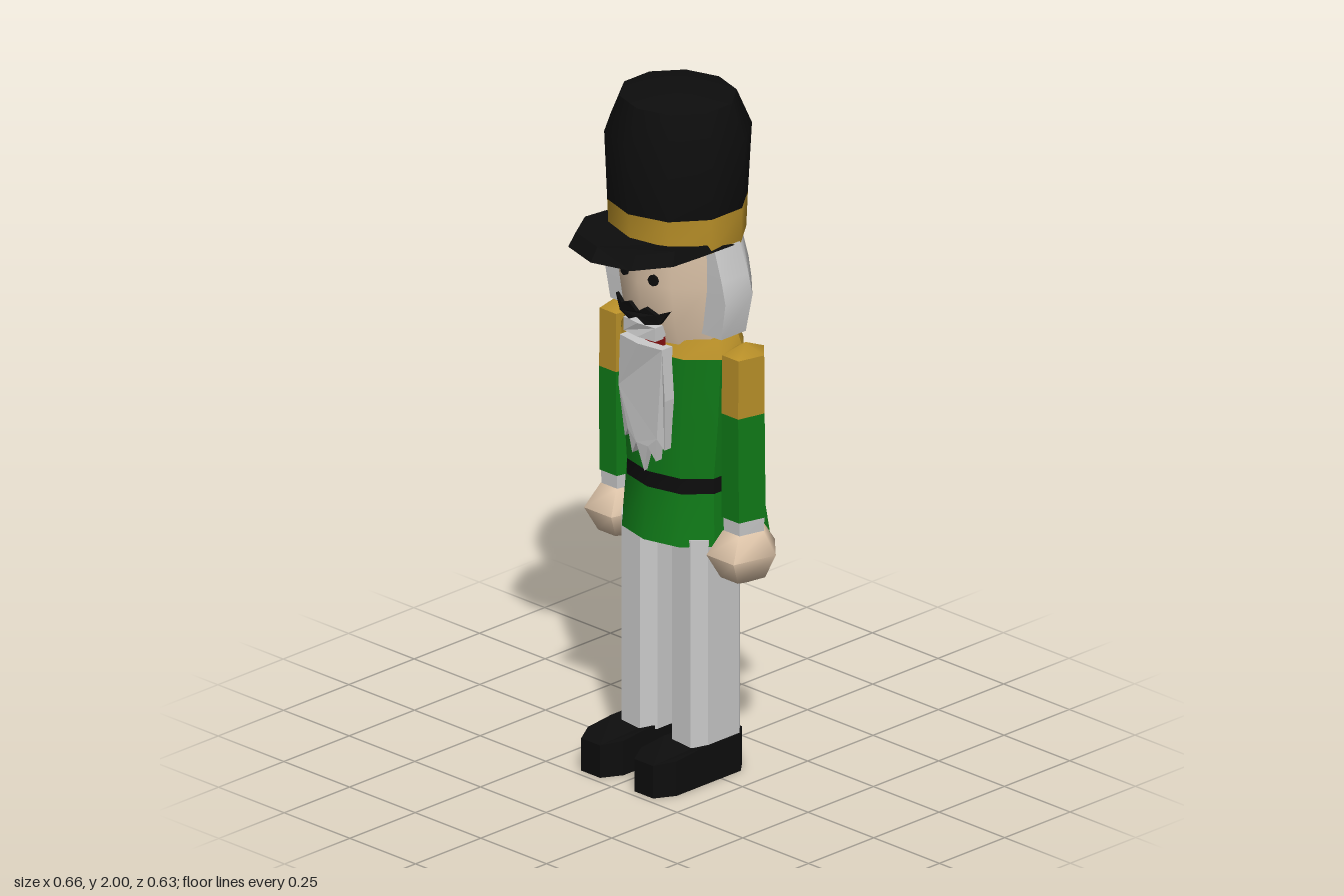
import * as THREE from 'three';
import { toCreasedNormals } from 'three/addons/utils/BufferGeometryUtils.js';

const paint = (name, color) => Object.assign(new THREE.MeshStandardMaterial({ color }), { name });

// Applies a rule to every vertex
function warp(geometry, rule) {
  const p = geometry.attributes.position;
  const v = new THREE.Vector3();
  for (let i = 0; i < p.count; i++) {
    v.fromBufferAttribute(p, i);
    rule(v);
    p.setXYZ(i, v.x, v.y, v.z);
  }
  geometry.computeVertexNormals();
  return geometry;
}

// Elliptical loft; each ring is [y, centre x, radius x, radius z], bottom to top
function loft(rings, sides = 10, zc = 0, crease = 0.75) {
  const n = rings.length - 1;
  const g = new THREE.CylinderGeometry(1, 1, 1, sides, n, false, Math.PI / 2);
  warp(g, v => {
    const [y, cx, rx, rz] = rings[Math.round((v.y + 0.5) * n)];
    v.set(cx + v.x * rx, y, zc + v.z * rz);
  });
  return toCreasedNormals(g, crease);
}

const shapeOf = pts => new THREE.Shape(pts.map(([a, b]) => new THREE.Vector2(a, b)));

// Prism standing on a plan outline of [x, z] points (symmetric about zc)
function prism(pts, y0, y1, zc = 0) {
  const g = new THREE.ExtrudeGeometry(shapeOf(pts), { depth: y1 - y0, bevelEnabled: false });
  return g.rotateX(-Math.PI / 2).translate(0, y0, zc);
}

// Plate on the face side (-x), outline in [z, y], bent back towards its sides
function frontPlate(pts, x, depth, bend) {
  const g = new THREE.ExtrudeGeometry(shapeOf(pts), { depth, bevelEnabled: false });
  g.rotateY(-Math.PI / 2).translate(x, 0, 0);
  return warp(g, v => { v.x += bend * v.z * v.z; });
}

export function createModel() {
  const black = paint('black', 0x0d0d0d);
  const green = paint('green', 0x107a18);
  const gold = paint('gold', 0xb88f28);
  const white = paint('white', 0xcacaca);
  const skin = paint('skin', 0xdcc3a8);
  const red = paint('red', 0x8a1010);

  const model = new THREE.Group();
  model.name = 'toySoldier';
  const add = (name, geometry, material) => {
    const mesh = new THREE.Mesh(geometry, material);
    mesh.name = name;
    model.add(mesh);
  };

  // Coat, belt and collar
  const hem = [0.69, 0.012, 0.14, 0.184];
  const beltLow = [0.84, 0.015, 0.128, 0.174];
  const beltTop = [0.885, 0.015, 0.127, 0.174];
  const chest = [1.24, 0.022, 0.142, 0.2];
  add('coatSkirt', loft([hem, beltLow]), [green, green, red]);
  add('belt', loft([beltLow, beltTop]), black);
  add('coat', loft([beltTop, [1.05, 0.018, 0.136, 0.19], chest]), green);
  add('collar', loft([chest, [1.29, 0.025, 0.125, 0.178]]), gold);

  // Head and hair
  add('head', loft([
    [1.27, 0.022, 0.13, 0.158], [1.33, 0.01, 0.14, 0.165],
    [1.45, 0, 0.15, 0.17], [1.57, 0, 0.145, 0.165],
  ]), skin);
  const hair = loft([
    [1.31, 0.005, 0.152, 0.222], [1.42, 0.005, 0.17, 0.243],
    [1.48, 0.005, 0.167, 0.228], [1.565, 0.005, 0.155, 0.196],
  ]);
  warp(hair, v => { v.x = Math.max(v.x, -0.046); });
  add('hair', toCreasedNormals(hair, 0.75), white);

  // Hat with band and visor
  const bandTop = [1.66, 0.003, 0.189, 0.197];
  add('hatBand', loft([[1.56, 0.003, 0.183, 0.195], bandTop]), gold);
  add('hat', loft([
    bandTop, [1.86, 0.005, 0.2, 0.205], [1.96, 0.005, 0.157, 0.165], [2, 0.005, 0.001, 0.001],
  ]), black);
  const visor = prism([
    [-0.33, 0], [-0.295, -0.12], [-0.195, -0.18], [-0.1, -0.186], [0.03, -0.19],
    [0.03, 0.19], [-0.1, 0.186], [-0.195, 0.18], [-0.295, 0.12],
  ], 1.562, 1.6);
  warp(visor, v => {
    if (v.y < 1.58) return;
    if (v.x > -0.15) v.y = 1.6 - (v.x + 0.15) * 0.18;
    v.x *= 0.92;
    v.z *= 0.95;
  });
  add('visor', visor, black);

  // Face details
  for (const s of [1, -1]) {
    const eye = new THREE.CylinderGeometry(0.016, 0.016, 0.008, 8).rotateZ(Math.PI / 2);
    add('eye', eye.rotateY(s * 0.2).translate(-0.145, 1.47, s * 0.055), black);
  }
  add('moustache', frontPlate([
    [0, 1.365], [-0.03, 1.385], [-0.065, 1.37], [-0.1, 1.385], [-0.075, 1.345], [-0.03, 1.335],
    [0, 1.35], [0.03, 1.335], [0.075, 1.345], [0.1, 1.385], [0.065, 1.37], [0.03, 1.385],
  ], -0.143, 0.012, 2.2), black);
  add('teeth', frontPlate([
    [-0.06, 1.29], [0, 1.29], [0.06, 1.29], [0.06, 1.33], [0, 1.33], [-0.06, 1.33],
  ], -0.11, 0.04, 2), white);
  add('mouth', frontPlate([
    [-0.06, 1.265], [0, 1.265], [0.06, 1.265], [0.06, 1.295], [0, 1.295], [-0.06, 1.295],
  ], -0.11, 0.008, 2), red);

  // Beard with a ragged lower edge
  const beard = frontPlate([
    [0.08, 1.27], [0, 1.27], [-0.08, 1.27], [-0.088, 1.12], [-0.075, 0.97], [-0.055, 1.0],
    [-0.045, 0.93], [-0.022, 0.97], [0, 0.89], [0.022, 0.97], [0.045, 0.93], [0.055, 1.0],
    [0.075, 0.97], [0.088, 1.12],
  ], -0.11, 0.04, 2);
  add('beard', warp(beard, v => { v.x += Math.max(0, 1.1 - v.y) * 0.12; }), white);

  // Lever down the back
  const lever = new THREE.ExtrudeGeometry(
    shapeOf([[0.14, 1.14], [0.27, 0.525], [0.327, 0.535], [0.205, 1.11], [0.165, 1.14]]),
    { depth: 1, bevelEnabled: false });
  warp(lever, v => { v.z = (v.z - 0.5) * 2 * (v.y > 0.8 ? 0.05 : 0.04); });
  add('backLever', lever, green);

  for (const s of [1, -1]) {
    // Arm
    const z = s * 0.233;
    add('epaulette', loft([
      [1.09, 0.028, 0.073, 0.054], [1.26, 0.028, 0.071, 0.053], [1.29, 0.03, 0.001, 0.001],
    ], 5, z), gold);
    add('sleeve', loft([[0.785, 0.03, 0.073, 0.056], [1.09, 0.028, 0.073, 0.054]], 5, z), green);
    add('cuff', loft([[0.735, 0.03, 0.066, 0.05], [0.785, 0.03, 0.068, 0.053]], 5, z), white);
    add('hand', loft([
      [0.585, 0.03, 0.001, 0.001], [0.61, 0.027, 0.075, 0.056],
      [0.68, 0.025, 0.116, 0.088], [0.745, 0.027, 0.068, 0.052],
    ], 5, z, 1.35), skin);

    // Leg and shoe
    add('leg', prism([
      [-0.08, -0.035], [-0.045, -0.068], [0.075, -0.068], [0.11, -0.035],
      [0.11, 0.035], [0.075, 0.068], [-0.045, 0.068], [-0.08, 0.035],
    ], 0.1, 0.71, s * 0.096), white);
    const shoe = prism([
      [-0.228, -0.036], [-0.17, -0.068], [-0.08, -0.068], [0.075, -0.068], [0.112, -0.036],
      [0.112, 0.036], [0.075, 0.068], [-0.08, 0.068], [-0.17, 0.068], [-0.228, 0.036],
    ], 0, 0.11, s * 0.101);
    add('shoe', warp(shoe, v => { if (v.y > 0.05 && v.x < -0.1) v.y = 0.11 + (v.x + 0.08) * 0.1; }), black);
  }
  return model;
}
